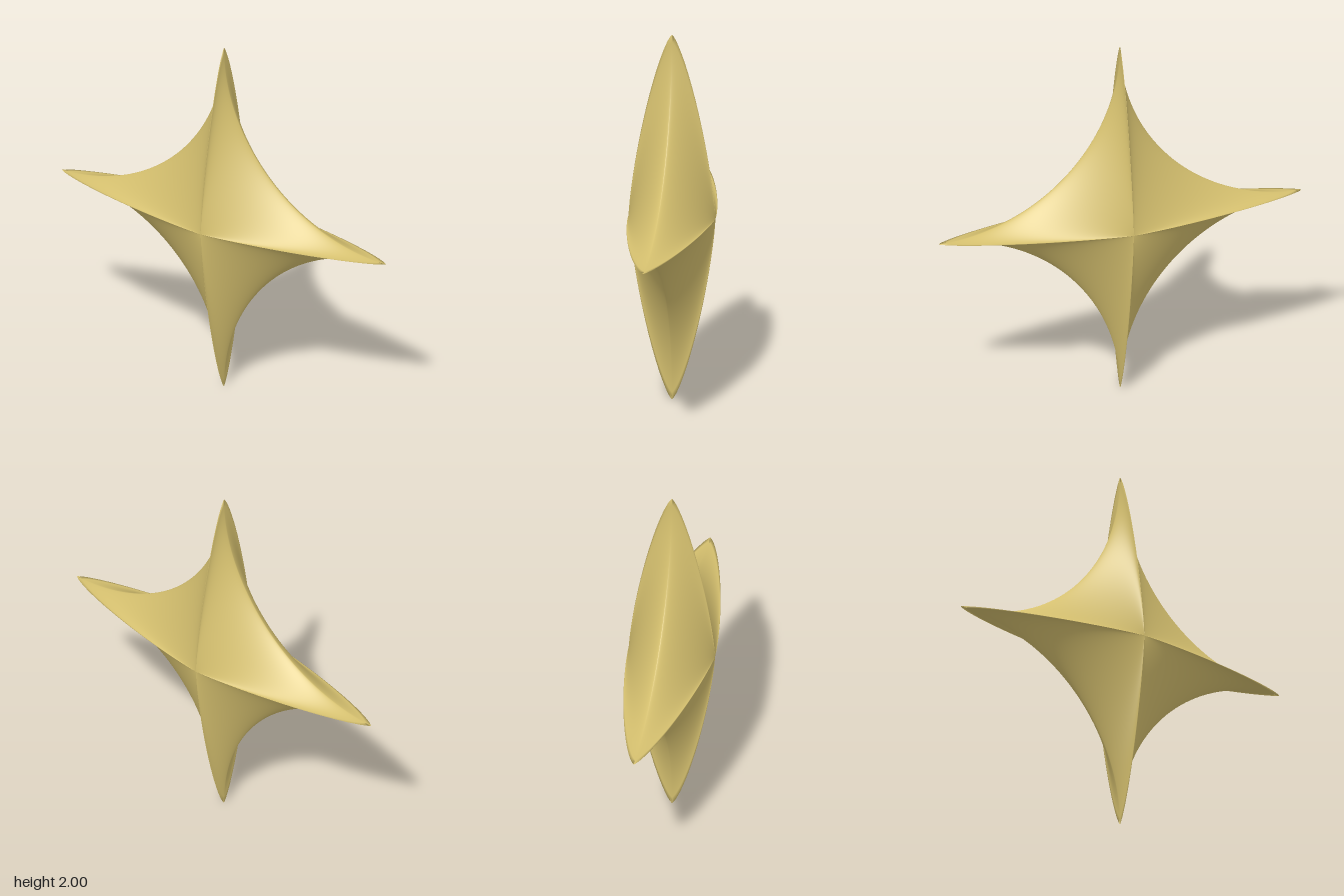
import * as THREE from 'three';

const HALF_DEPTH = 0.23;   // thickness at the centre, each way
const ARC = 40;            // steps along each concave side
const LAYERS = 80;         // steps from back to front
const ROUND = 1.5;         // exponent of the ridge profile

// Four-pointed outline made of four concave quarter circles, counter-clockwise
function starOutline() {
  const points = [];
  for (let k = 0; k < 4; k++) {
    for (let j = 0; j < ARC; j++) {
      const t = (j / ARC) * Math.PI / 2;
      const p = new THREE.Vector2(1 - Math.sin(t), 1 - Math.cos(t));
      points.push(p.rotateAround(new THREE.Vector2(), k * Math.PI / 2));
    }
  }
  return points;
}

// Stack scaled outlines from the back point to the front point
function starGeometry() {
  const outline = starOutline();
  const n = outline.length;
  const pos = [0, 0, -HALF_DEPTH];
  const index = [];
  for (let i = 1; i < LAYERS; i++) {
    const a = (i / LAYERS - 0.5) * Math.PI;
    const s = Math.pow(Math.cos(a), ROUND);
    const z = HALF_DEPTH * Math.sign(a) * Math.pow(Math.abs(Math.sin(a)), ROUND);
    for (const p of outline) pos.push(p.x * s, p.y * s, z);
  }
  pos.push(0, 0, HALF_DEPTH);
  const front = pos.length / 3 - 1;
  const at = (ring, j) => 1 + ring * n + (j % n);
  for (let j = 0; j < n; j++) {
    index.push(0, at(0, j + 1), at(0, j));
    for (let r = 0; r < LAYERS - 2; r++) {
      index.push(at(r, j), at(r, j + 1), at(r + 1, j));
      index.push(at(r, j + 1), at(r + 1, j + 1), at(r + 1, j));
    }
    index.push(at(LAYERS - 2, j), at(LAYERS - 2, j + 1), front);
  }
  const geometry = new THREE.BufferGeometry();
  geometry.setAttribute('position', new THREE.Float32BufferAttribute(pos, 3));
  geometry.setIndex(index);
  geometry.computeVertexNormals();
  return geometry;
}

export function createModel() {
  const gold = new THREE.MeshStandardMaterial({ color: 0xd4bf6e });
  gold.name = 'gold';

  const star = new THREE.Mesh(starGeometry(), gold);
  star.name = 'fourPointedStar';
  star.position.y = 1;

  const model = new THREE.Group();
  model.name = 'star';
  model.add(star);
  return model;
}
